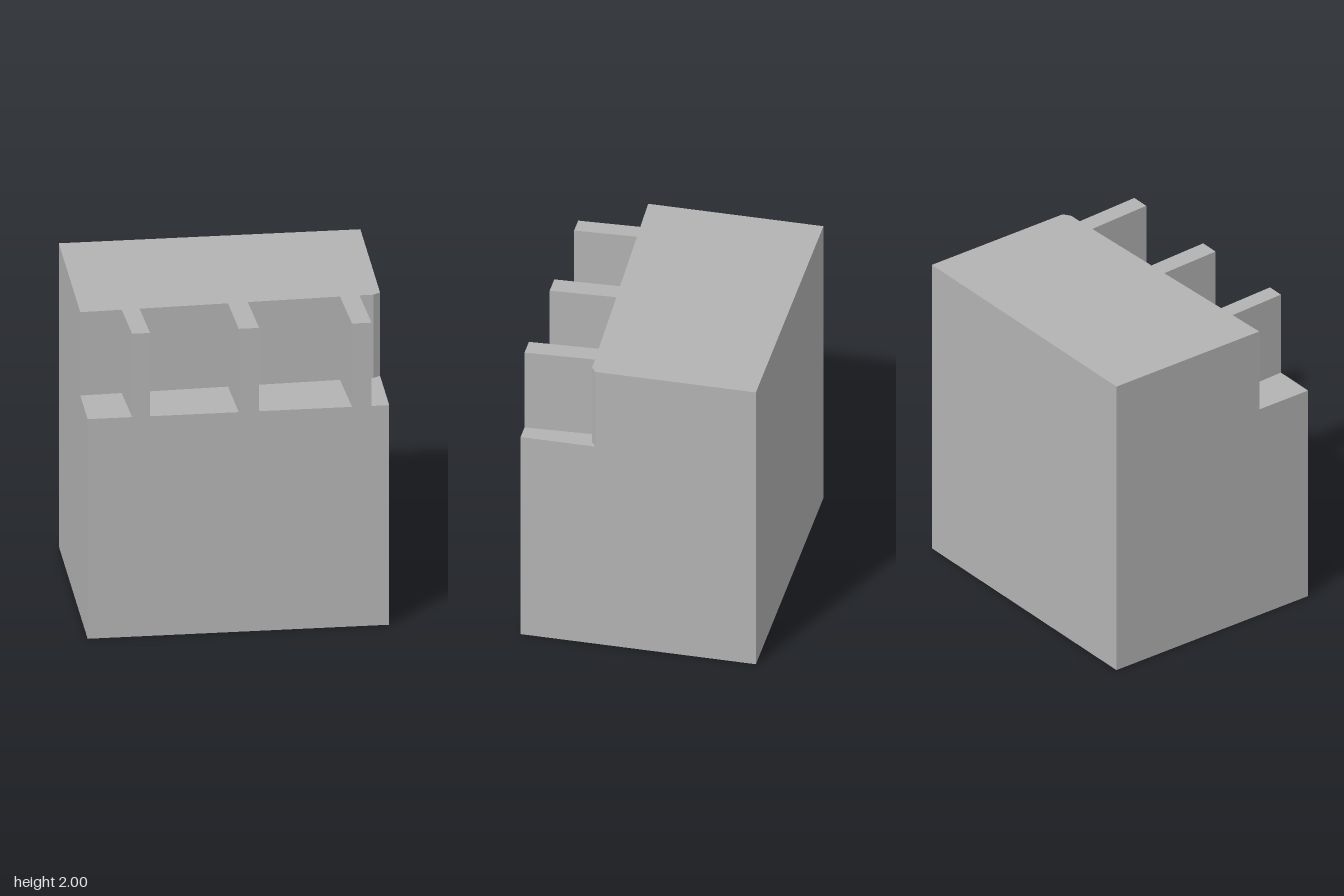
import * as THREE from 'three';

const HALF_W = 0.925, HALF_D = 0.735, LEDGE = 1.45, TOP = 2;

export function createModel() {
  const model = new THREE.Group();
  const grey = new THREE.MeshStandardMaterial({ color: 0xb3b3b3 });
  grey.name = 'plain grey';

  // Extrudes a plan outline of [x, z] points between two heights
  const addBlock = (name, plan, bottom, top) => {
    const shape = new THREE.Shape(plan.map(([x, z]) => new THREE.Vector2(x, z)));
    const geometry = new THREE.ExtrudeGeometry(shape, { depth: top - bottom, bevelEnabled: false });
    geometry.rotateX(Math.PI / 2).translate(0, top, 0);
    const mesh = new THREE.Mesh(geometry, grey);
    mesh.name = name;
    model.add(mesh);
  };

  // Solid lower block
  addBlock('lowerBlock', [
    [-HALF_W, -HALF_D], [HALF_W, -HALF_D], [HALF_W, HALF_D], [-HALF_W, HALF_D],
  ], 0, LEDGE);

  // Upper block with three slightly slanted fins between the front recesses
  addBlock('finnedUpperBlock', [
    [-HALF_W, -HALF_D], [HALF_W, -HALF_D],
    [HALF_W, 0.268], [0.88, 0.299], // chamfered corner
    [0.795, 0.299], [0.817, HALF_D], [0.697, HALF_D], [0.675, 0.304], // left fin
    [0.107, 0.323], [0.127, HALF_D], [0.002, HALF_D], [-0.015, 0.328], // middle fin
    [-0.56, 0.347], [-0.542, HALF_D], [-0.652, HALF_D], [-0.67, 0.351], // right fin
    [-HALF_W, 0.36],
  ], LEDGE, TOP);

  return model;
}
